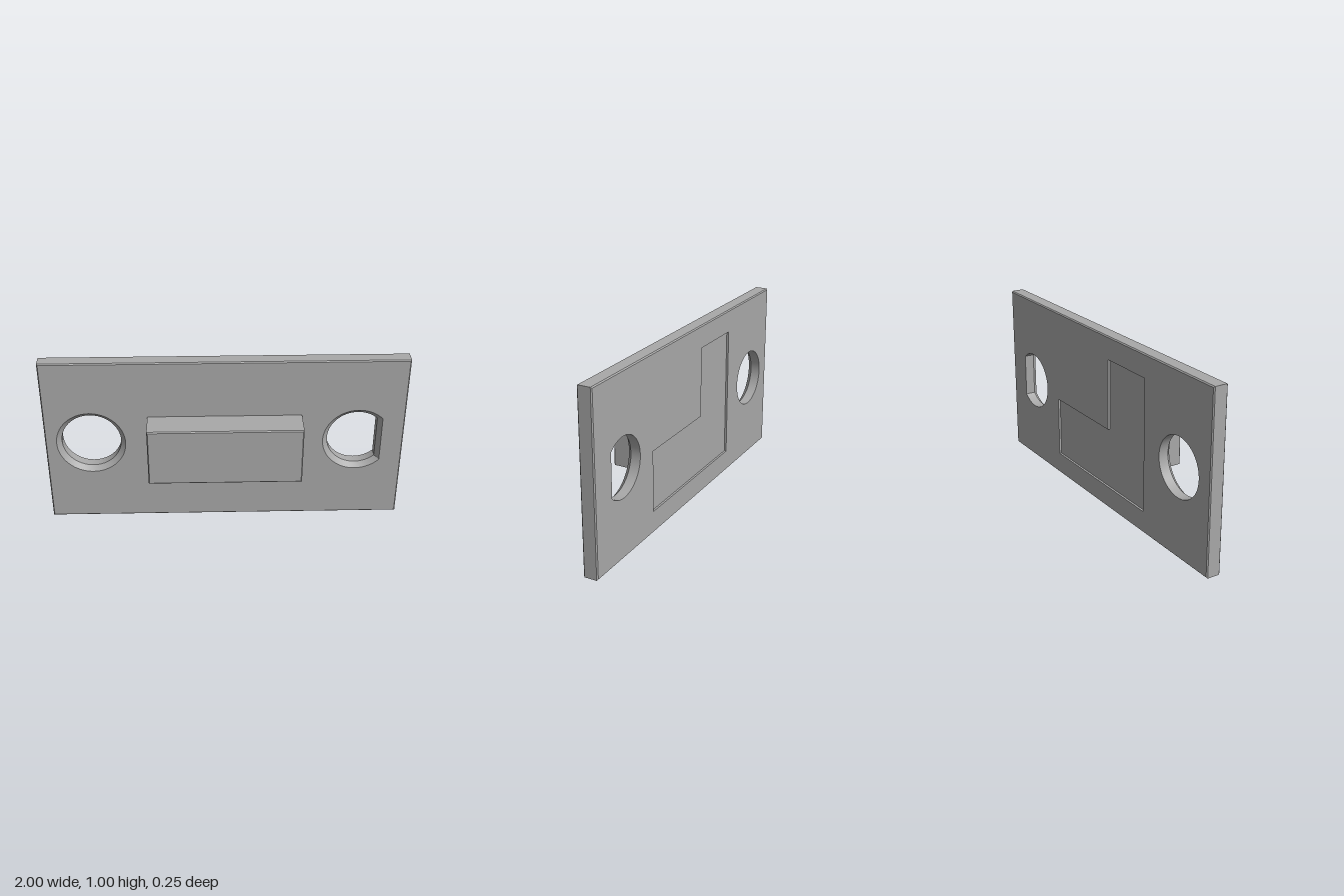
import * as THREE from 'three';
import { mergeGeometries, toCreasedNormals } from 'three/addons/utils/BufferGeometryUtils.js';

const BACK = -0.125, FRONT = -0.043, BEVEL = 0.006;

// Anticlockwise rectangle, pulled in by an inset
function rect(x0, y0, x1, y1, inset = 0) {
  const i = inset;
  return [[x0 + i, y0 + i], [x1 - i, y0 + i], [x1 - i, y1 - i], [x0 + i, y1 - i]];
}

// Circle, optionally cut by a vertical flat at distance flat from its centre
function circle(cx, cy, r, flat) {
  const start = flat ? Math.acos(flat / r) : 0;
  const n = 64, points = [];
  for (let i = 0; i < (flat ? n + 1 : n); i++) {
    const a = start + (2 * Math.PI - 2 * start) * i / n;
    points.push([cx + r * Math.cos(a), cy + r * Math.sin(a)]);
  }
  return points;
}

// Wall between two loops with equal point counts; z0 lies behind z1
function wall(loop0, z0, loop1, z1, inward = false) {
  const pos = [], n = loop0.length;
  for (let i = 0; i < n; i++) {
    const j = (i + 1) % n;
    const a = [...loop0[i], z0], b = [...loop0[j], z0];
    const c = [...loop1[j], z1], d = [...loop1[i], z1];
    const tris = inward ? [a, c, b, a, d, c] : [a, b, c, a, c, d];
    tris.forEach(p => pos.push(...p));
  }
  const g = new THREE.BufferGeometry();
  g.setAttribute('position', new THREE.Float32BufferAttribute(pos, 3));
  return g;
}

// Flat face with holes, facing front or back
function face(loop, z, facesBack = false, holes = []) {
  const toVectors = l => l.map(p => new THREE.Vector2(...p));
  const shape = new THREE.Shape(toVectors(loop));
  shape.holes = holes.map(h => new THREE.Path(toVectors(h)));
  const flat = new THREE.ShapeGeometry(shape);
  if (facesBack) flat.index.array.reverse();
  const g = flat.toNonIndexed();
  g.deleteAttribute('uv');
  g.deleteAttribute('normal');
  return g.translate(0, 0, z);
}

// Outer sides of a bevelled slab
function slabSides(box, back, front) {
  const full = rect(...box), small = rect(...box, BEVEL);
  return [
    wall(small, back, full, back + BEVEL),
    wall(full, back + BEVEL, full, front - BEVEL),
    wall(full, front - BEVEL, small, front),
  ];
}

function makeMesh(name, parts, material) {
  const mesh = new THREE.Mesh(toCreasedNormals(mergeGeometries(parts), 0.5), material);
  mesh.name = name;
  return mesh;
}

export function createModel() {
  const grey = new THREE.MeshStandardMaterial({ color: 0xa8a8a8 });
  grey.name = 'grey';
  const group = new THREE.Group();
  group.name = 'mountingPlate';

  // Countersunk holes: one round, one with a flat side
  const holes = [
    { inner: circle(-0.745, 0.5, 0.165), outer: circle(-0.745, 0.5, 0.192) },
    { inner: circle(0.74, 0.5, 0.165, 0.11), outer: circle(0.74, 0.5, 0.192, 0.136) },
  ];

  // Shallow L-shaped pocket in the back
  const pocket = [[-0.445, 0.125], [0.445, 0.125], [0.445, 0.472],
    [-0.1, 0.472], [-0.1, 0.872], [-0.445, 0.872]];
  const floor = BACK + 0.012;

  // Plate
  const plateBox = [-1, 0, 1, 1];
  const outline = rect(...plateBox, BEVEL);
  const plate = [
    ...slabSides(plateBox, BACK, FRONT),
    face(outline, FRONT, false, holes.map(h => h.outer)),
    face(outline, BACK, true, [...holes.map(h => h.inner), pocket]),
    wall(pocket, BACK, pocket, floor, true),
    face(pocket, floor, true),
  ];
  const seat = FRONT - 0.027;
  for (const { inner, outer } of holes) {
    plate.push(wall(inner, BACK, inner, seat, true), wall(inner, seat, outer, FRONT, true));
  }
  group.add(makeMesh('plate', plate, grey));

  // Raised block on the front
  const blockBox = [-0.425, 0.333, 0.425, 0.67];
  const blockFace = rect(...blockBox, BEVEL);
  group.add(makeMesh('block', [
    ...slabSides(blockBox, FRONT, 0.125),
    face(blockFace, 0.125),
    face(blockFace, FRONT, true),
  ], grey));

  return group;
}
